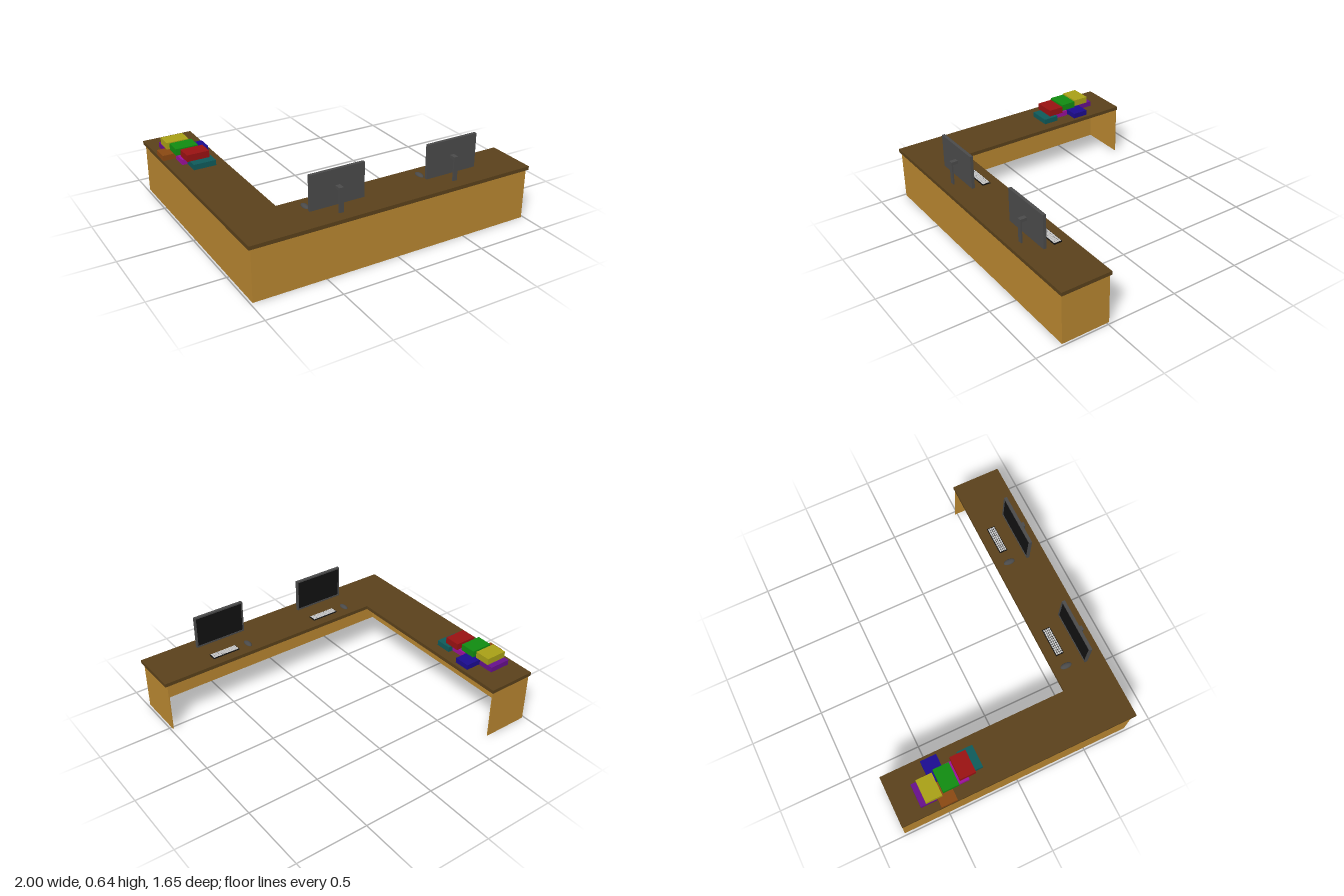
import * as THREE from 'three';

const TOP = 0.373; // height of the desk surface

const mat = (color) => new THREE.MeshStandardMaterial({ color });
const wood = mat(0xb88630), darkWood = mat(0x5a411b), grey = mat(0x4a4a4a);
const black = mat(0x111111), keyGrey = mat(0xcccccc);

// Box given by its min and max on each axis
function box(parent, name, material, [x0, x1], [y0, y1], [z0, z1]) {
  const mesh = new THREE.Mesh(new THREE.BoxGeometry(x1 - x0, y1 - y0, z1 - z0), material);
  mesh.position.set((x0 + x1) / 2, (y0 + y1) / 2, (z0 + z1) / 2);
  mesh.name = name;
  parent.add(mesh);
  return mesh;
}

// L-shaped top on thin panels, open towards the inner corner
function makeDesk() {
  const desk = new THREE.Group();
  desk.name = 'desk';
  const outline = [[-1, -0.825], [-0.655, -0.825], [-0.655, 0.48], [1, 0.48], [1, 0.825], [-1, 0.825]];
  const shape = new THREE.Shape(outline.map(([x, z]) => new THREE.Vector2(x, -z)));
  const geometry = new THREE.ExtrudeGeometry(shape, { depth: 0.025, bevelEnabled: false });
  geometry.rotateX(-Math.PI / 2);
  const top = new THREE.Mesh(geometry, darkWood);
  top.position.y = TOP - 0.025;
  top.name = 'deskTop';
  desk.add(top);

  const h = [0, TOP - 0.025];
  box(desk, 'frontPanel', wood, [-0.985, 0.985], h, [0.808, 0.815]);
  box(desk, 'sidePanel', wood, [-0.985, -0.978], h, [-0.82, 0.808]);
  box(desk, 'frontWingEnd', wood, [0.978, 0.985], h, [0.483, 0.808]);
  box(desk, 'backWingEnd', wood, [-0.978, -0.66], h, [-0.82, -0.813]);
  return desk;
}

// Monitor facing -z with its stand behind
function makeMonitor() {
  const monitor = new THREE.Group();
  monitor.name = 'monitor';
  const w = 0.185, y0 = 0.408, y1 = 0.638, rim = 0.01;
  box(monitor, 'monitorBack', grey, [-w, w], [y0, y1], [0.69, 0.704]);
  box(monitor, 'screen', black, [-w + rim, w - rim], [y0 + rim, y1 - rim], [0.687, 0.69]);
  for (const s of [-1, 1]) {
    const x = s * (w - rim / 2), y = (y0 + y1) / 2 + s * ((y1 - y0) / 2 - rim / 2);
    box(monitor, 'bezelSide', grey, [x - rim / 2, x + rim / 2], [y0, y1], [0.683, 0.69]);
    box(monitor, 'bezelBar', grey, [-w + rim, w - rim], [y - rim / 2, y + rim / 2], [0.683, 0.69]);
  }
  box(monitor, 'standPost', grey, [-0.015, 0.015], [TOP, 0.535], [0.74, 0.75]);
  box(monitor, 'standArm', grey, [-0.015, 0.015], [0.515, 0.535], [0.704, 0.74]);
  return monitor;
}

// Keyboard with a grid of keys
function makeKeyboard() {
  const keyboard = new THREE.Group();
  keyboard.name = 'keyboard';
  box(keyboard, 'keyboardBase', black, [-0.1, 0.1], [TOP, TOP + 0.006], [0.545, 0.601]);
  const cols = 12, rows = 4, px = 0.192 / cols, pz = 0.05 / rows;
  for (let i = 0; i < cols; i++) {
    for (let j = 0; j < rows; j++) {
      const x = -0.096 + i * px, z = 0.548 + j * pz;
      box(keyboard, 'key', keyGrey, [x + 0.0015, x + px - 0.0015], [TOP + 0.006, TOP + 0.01],
        [z + 0.0015, z + pz - 0.0015]);
    }
  }
  return keyboard;
}

function makeMouse() {
  const geometry = new THREE.SphereGeometry(1, 24, 12, 0, Math.PI * 2, 0, Math.PI / 2);
  const mouse = new THREE.Mesh(geometry, grey);
  mouse.scale.set(0.02, 0.015, 0.04);
  mouse.position.set(-0.145, TOP, 0.573);
  mouse.name = 'mouse';
  return mouse;
}

export function createModel() {
  const model = new THREE.Group();
  model.name = 'officeDesk';
  model.add(makeDesk());

  // Two workstations
  for (const x of [-0.365, 0.46]) {
    const station = new THREE.Group();
    station.name = 'workstation';
    const keyboard = makeKeyboard();
    keyboard.position.x = 0.04;
    station.add(makeMonitor(), keyboard, makeMouse());
    station.position.x = x;
    model.add(station);
  }

  // Stacked books: color, centre x, centre z, layer
  const books = [
    [0x0f5a5a, -0.803, -0.27, 0], [0x9a109a, -0.838, -0.38, 0],
    [0x1c0c90, -0.758, -0.5, 0], [0x8a4812, -0.922, -0.5, 0],
    [0x66108c, -0.865, -0.615, 0], [0x991212, -0.823, -0.328, 1],
    [0x118c11, -0.848, -0.455, 1], [0xa8a016, -0.863, -0.578, 1],
  ];
  const stack = new THREE.Group();
  stack.name = 'books';
  for (const [color, x, z, layer] of books) {
    const y = layer ? 0.412 : TOP;
    box(stack, 'book', mat(color), [x - 0.077, x + 0.077], [y, layer ? 0.458 : 0.41], [z - 0.055, z + 0.055]);
  }
  model.add(stack);
  return model;
}
